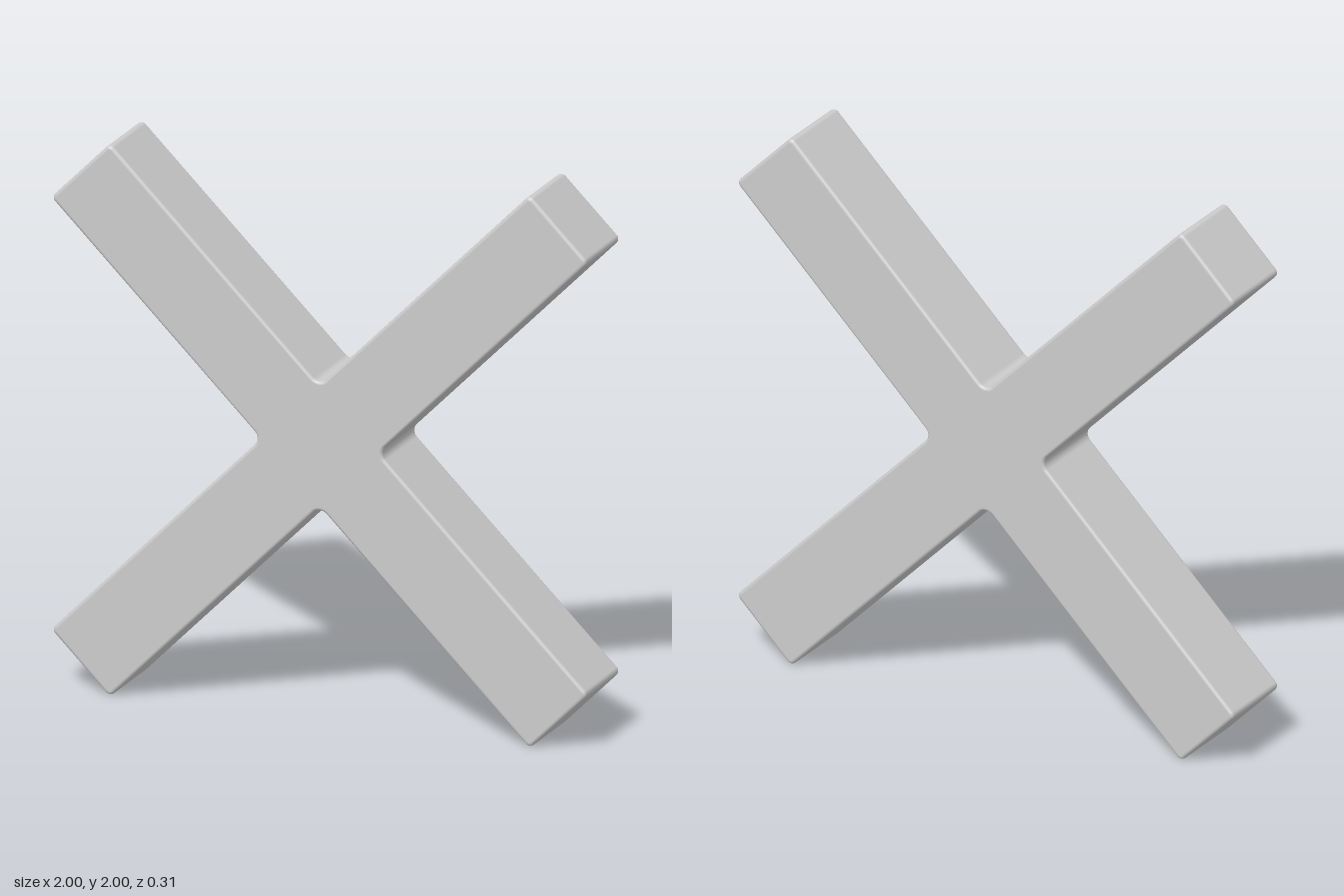
import * as THREE from 'three';
import { mergeVertices } from 'three/addons/utils/BufferGeometryUtils.js';

const ARM = 1.269;     // centre to arm end
const HALF = 0.156;    // half the bar width
const DEPTH = 0.155;   // half the bar depth
const CORNER = 0.02;   // rounding of the arm ends
const FILLET = 0.035;  // rounding of the inner corners
const BEVEL = 0.012;   // rounding of the front and back edges

// Outline of a plus sign, one arm and its following inner corner per quarter turn
function crossShape() {
  const shape = new THREE.Shape();
  const q = Math.PI / 2;
  for (let k = 0; k < 4; k++) {
    const turn = k * q;
    const arc = (x, y, r, from, to, clockwise) => {
      const c = new THREE.Vector2(x, y).rotateAround(new THREE.Vector2(), turn);
      shape.absarc(c.x, c.y, r, from + turn, to + turn, clockwise);
    };
    arc(ARM - CORNER, -HALF + CORNER, CORNER, -q, 0, false);
    arc(ARM - CORNER, HALF - CORNER, CORNER, 0, q, false);
    arc(HALF + FILLET, HALF + FILLET, FILLET, 3 * q, 2 * q, true);
  }
  shape.closePath();
  return shape;
}

export function createModel() {
  const group = new THREE.Group();
  group.name = 'diagonalCross';

  let geometry = new THREE.ExtrudeGeometry(crossShape(), {
    depth: 2 * (DEPTH - BEVEL),
    curveSegments: 4,
    bevelEnabled: true,
    bevelThickness: BEVEL,
    bevelSize: BEVEL,
    bevelOffset: -BEVEL,
    bevelSegments: 4,
  });
  geometry.translate(0, 0, BEVEL - DEPTH);
  geometry.rotateZ(Math.PI / 4);

  // Weld so the rounded edges shade smoothly while the broad faces stay flat
  geometry.deleteAttribute('normal');
  geometry.deleteAttribute('uv');
  geometry = mergeVertices(geometry, 1e-5);
  geometry.computeVertexNormals();

  const cross = new THREE.Mesh(geometry, new THREE.MeshStandardMaterial({ color: 0xcccccc }));
  cross.name = 'crossedBars';
  cross.position.y = 1;
  group.add(cross);
  return group;
}
